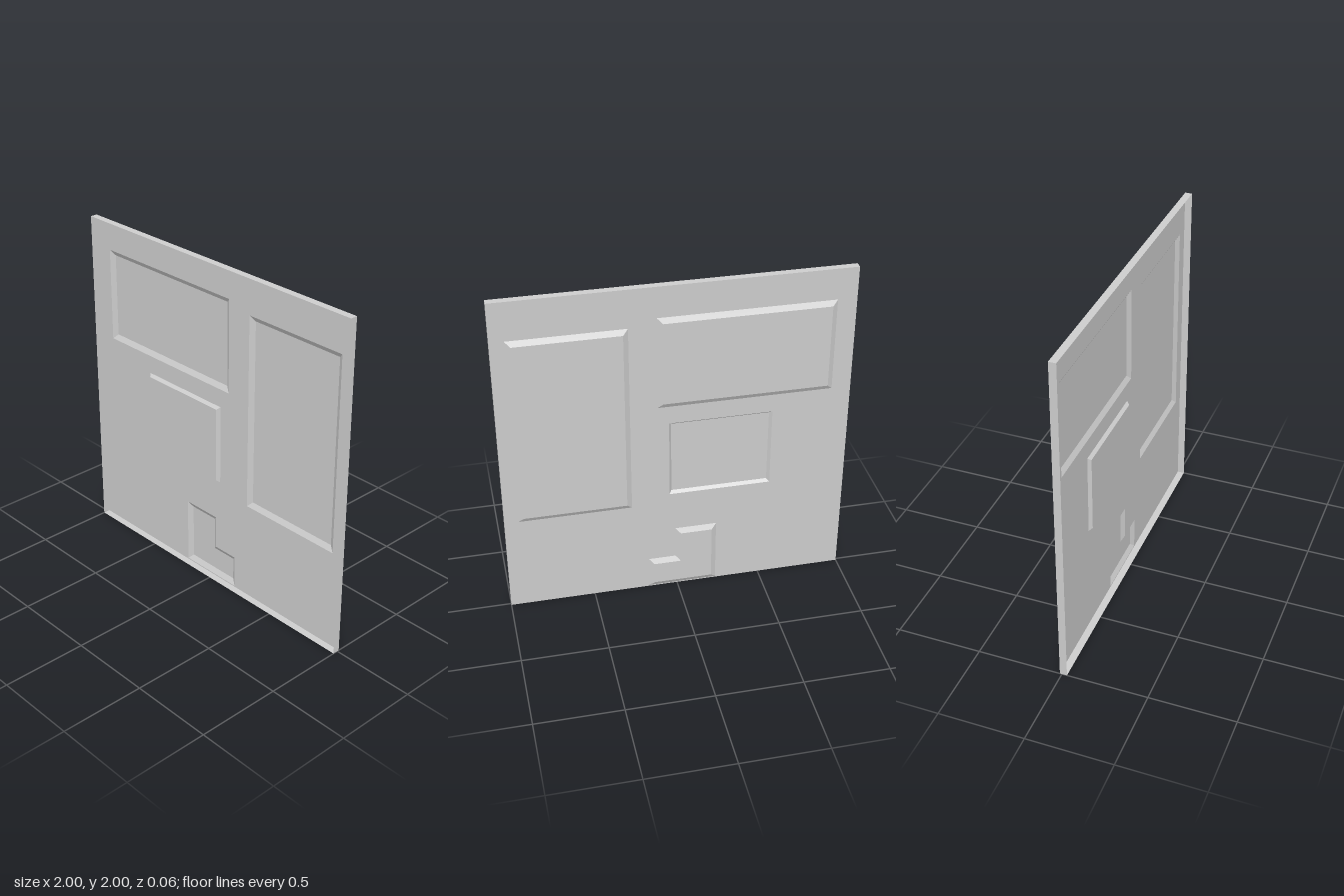
import * as THREE from 'three';

const FRONT = 0.03, SHEET = -0.012, BACK = -0.03;

const rect = (x0, y0, x1, y1) => [[x0, y0], [x1, y0], [x1, y1], [x0, y1]];

// Inset a counter-clockwise outline with right-angled corners by w
function inset(pts, w) {
  const n = pts.length;
  const inward = (a, b) => {
    const l = Math.hypot(b[0] - a[0], b[1] - a[1]);
    return [-(b[1] - a[1]) / l, (b[0] - a[0]) / l];
  };
  return pts.map((p, i) => {
    const u = inward(pts[(i + n - 1) % n], p);
    const v = inward(p, pts[(i + 1) % n]);
    return [p[0] + w * (u[0] + v[0]), p[1] + w * (u[1] + v[1])];
  });
}

// Flat-shaded strip of wall joining two outlines at different depths
function band(outer, zo, inner, zi) {
  const pos = [];
  outer.forEach((a, i) => {
    const j = (i + 1) % outer.length;
    const A = [...a, zo], B = [...outer[j], zo], C = [...inner[j], zi], D = [...inner[i], zi];
    pos.push(...A, ...B, ...C, ...A, ...C, ...D);
  });
  const g = new THREE.BufferGeometry();
  g.setAttribute('position', new THREE.Float32BufferAttribute(pos, 3));
  g.computeVertexNormals();
  return g;
}

function flat(outline, z, holes = []) {
  const vec = (pts) => pts.map(([x, y]) => new THREE.Vector2(x, y));
  const shape = new THREE.Shape(vec(outline));
  holes.forEach((h) => shape.holes.push(new THREE.Path(vec(h))));
  return new THREE.ShapeGeometry(shape).translate(0, 0, z);
}

export function createModel() {
  const model = new THREE.Group();
  model.name = 'pressedPanel';
  const steel = new THREE.MeshStandardMaterial({ color: 0xcccccc, side: THREE.DoubleSide });
  steel.name = 'greySteel';
  const add = (parent, name, geometry) => {
    const m = new THREE.Mesh(geometry, steel);
    m.name = name;
    parent.add(m);
  };

  // Pressings: outline, slope width and depth of the floor
  const pressings = [
    { name: 'upperRecess', pts: rect(-0.89, 1.255, 0.11, 1.815), w: 0.03, z: BACK },
    { name: 'tallRecess', pts: rect(0.265, 0.6, 0.92, 1.77), w: 0.03, z: BACK },
    { name: 'raisedPad', pts: rect(-0.55, 0.66, 0.045, 1.145), w: 0.015, z: SHEET + 0.018 },
    {
      name: 'steppedRecess', w: 0.03, z: BACK,
      pts: [[-0.235, 0.006], [0.17, 0.006], [0.17, 0.204], [0.01, 0.204], [0.01, 0.408], [-0.235, 0.408]],
    },
  ];

  // Main sheet with an opening for each pressing
  const edge = rect(-1, 0, 1, 2);
  add(model, 'sheet', flat(edge, SHEET, pressings.map((p) => p.pts)));

  // Folded rim open to the front
  add(model, 'rim', band(edge, SHEET, edge, FRONT));

  // Sloped walls and floor of each pressing
  for (const { name, pts, w, z } of pressings) {
    const group = new THREE.Group();
    group.name = name;
    const inner = inset(pts, w);
    add(group, name + 'Slopes', band(pts, SHEET, inner, z));
    add(group, name + 'Floor', flat(inner, z));
    model.add(group);
  }
  return model;
}
